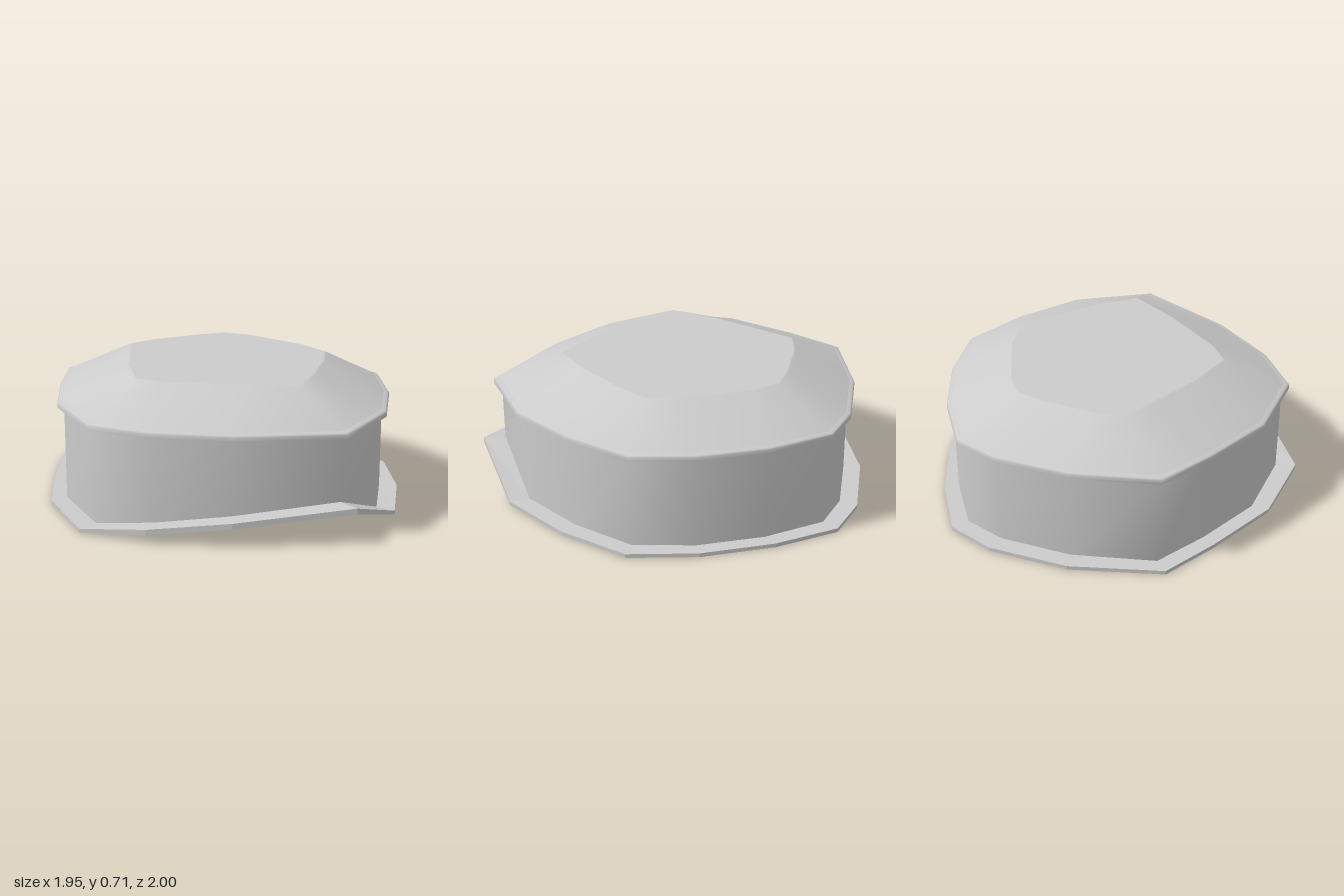
import * as THREE from 'three';

// Matching 15-sided outlines as [x, z], starting at the back tip and running towards +x
const FLANGE = [[-0.06, -1], [0.28, -0.87], [0.62, -0.66], [0.89, -0.4], [0.975, 0], [0.975, 0.42], [0.8, 0.86], [0.2, 1],
  [-0.23, 1], [-0.59, 0.9], [-0.84, 0.51], [-0.93, 0.08], [-0.975, -0.26], [-0.67, -0.66], [-0.32, -0.92]];
const RIM = [[-0.06, -0.94], [0.28, -0.82], [0.6, -0.62], [0.84, -0.375], [0.915, 0], [0.915, 0.39], [0.74, 0.81], [0.19, 0.935],
  [-0.22, 0.935], [-0.55, 0.84], [-0.8, 0.47], [-0.885, 0.07], [-0.92, -0.26], [-0.625, -0.62], [-0.3, -0.86]];
const TOP = [[-0.06, -0.57], [0.09, -0.53], [0.41, -0.34], [0.55, -0.195], [0.56, 0], [0.53, 0.32], [0.48, 0.53], [0.17, 0.565],
  [-0.21, 0.565], [-0.365, 0.525], [-0.46, 0.25], [-0.505, 0], [-0.545, -0.23], [-0.435, -0.345], [-0.2, -0.5]];

// The base lifts at the front-left corner
const LIFT = { 6: 0.16, 7: 0.1, 8: 0.045, 5: 0.004 };
const lift = i => LIFT[i] ?? 0;

// Loop of 3D points from an outline, scaled about the axis, at a height or height rule
const ring = (outline, scale, y) => outline.map(([x, z], i) =>
  [x * scale, typeof y === 'function' ? y(i) : y, z * scale]);
const mix = (a, b, t) => a.map(([x, z], i) => [x + (b[i][0] - x) * t, z + (b[i][1] - z) * t]);

// Skin through successive loops; optionally close the last one with a fan
function loft(name, loops, { flat = false, cap = false } = {}) {
  const n = loops[0].length, points = loops.flat(), index = [];
  for (let k = 0; k < loops.length - 1; k++) {
    for (let i = 0; i < n; i++) {
      const a = k * n + i, a2 = k * n + (i + 1) % n;
      index.push(a, a + n, a2, a + n, a2 + n, a2);
    }
  }
  if (cap) {
    const start = points.length - n;
    points.push([0, points[start][1], 0]);
    for (let i = 0; i < n; i++) index.push(start + n, start + (i + 1) % n, start + i);
  }
  let geometry = new THREE.BufferGeometry();
  geometry.setAttribute('position', new THREE.Float32BufferAttribute(points.flat(), 3));
  geometry.setIndex(index);
  if (flat) geometry = geometry.toNonIndexed();
  geometry.computeVertexNormals();
  const mesh = new THREE.Mesh(geometry, new THREE.MeshStandardMaterial({
    color: 0xcccccc, side: THREE.DoubleSide, flatShading: flat,
  }));
  mesh.name = name;
  return mesh;
}

export function createModel() {
  const model = new THREE.Group();
  model.name = 'hollowCover';
  const low = i => lift(i);
  const high = i => lift(i) + (lift(i) > 0.02 ? 0.03 : 0.022);
  const wall = 0.96;

  // Thin flange around the open base
  const outerLow = ring(FLANGE, 1, low), outerHigh = ring(FLANGE, 1, high);
  const innerLow = ring(RIM, wall, low), innerHigh = ring(RIM, wall, high);
  model.add(loft('baseFlange', [innerLow, outerLow, outerHigh, innerHigh], { flat: true }));

  // Hollow side wall, open below
  model.add(loft('sideWall', [innerLow, ring(RIM, wall, 0.525)]));

  // Projecting rim with a softened upper edge
  model.add(loft('rimUnderside', [ring(RIM, wall, 0.525), ring(RIM, 1, 0.525)], { flat: true }));
  model.add(loft('rim', [ring(RIM, 1, 0.525), ring(RIM, 1, 0.547), ring(RIM, 0.992, 0.555), ring(RIM, 0.97, 0.56)]));

  // Sloping roof with a slight bevel, then the flat panel
  model.add(loft('roofSlope', [ring(RIM, 0.97, 0.56), ring(mix(RIM, TOP, 0.5), 0.985, 0.636),
    ring(mix(RIM, TOP, 0.96), 1, 0.71), ring(TOP, 1, 0.715)]));
  model.add(loft('roofPanel', [ring(TOP, 1, 0.715), ring(TOP, 0.5, 0.715)], { flat: true, cap: true }));
  return model;
}
